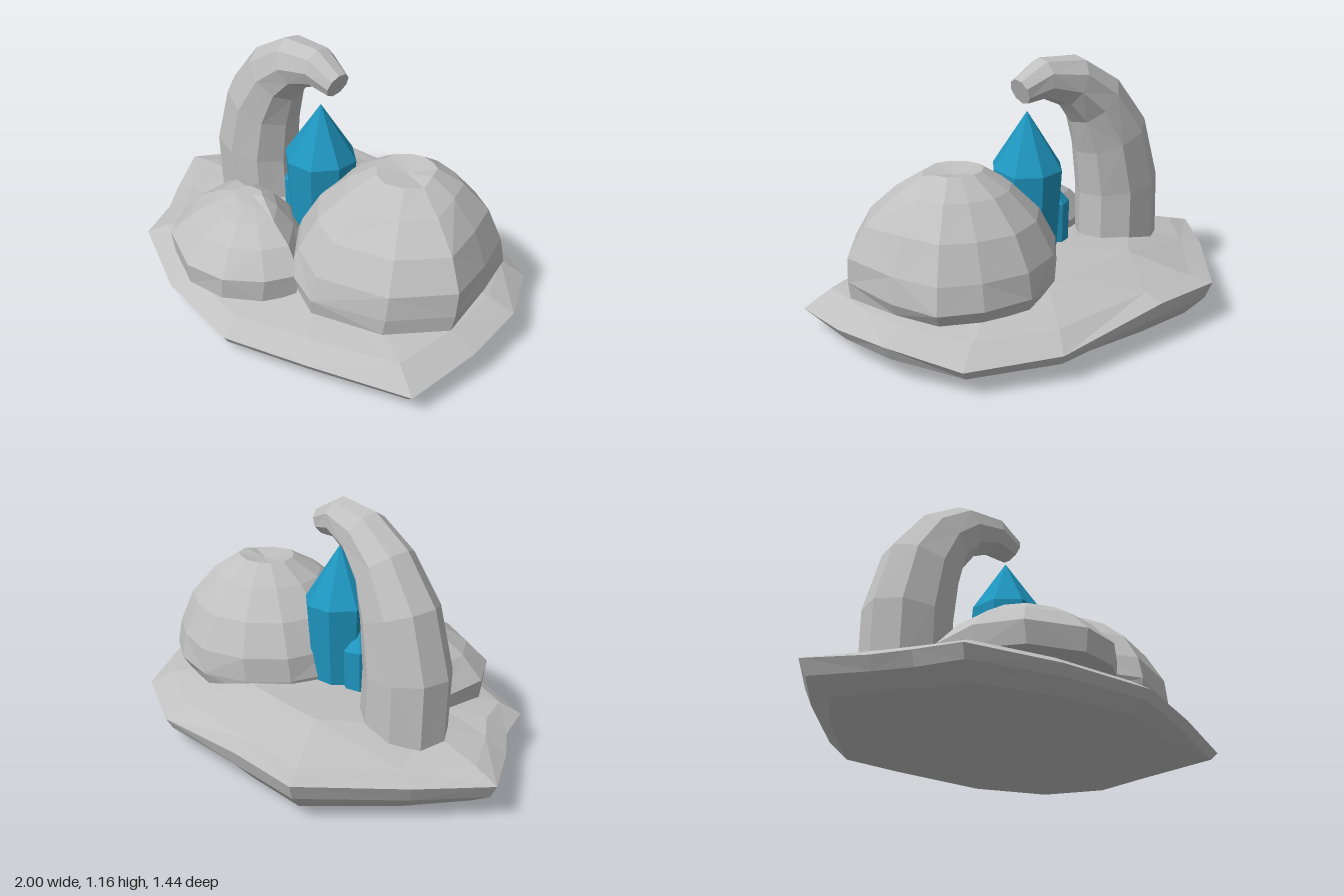
import * as THREE from 'three';

const stone = new THREE.MeshStandardMaterial({ color: 0xc0c0c0, flatShading: true });
stone.name = 'grey stone';
const teal = new THREE.MeshStandardMaterial({ color: 0x1f96c0, flatShading: true });
teal.name = 'teal crystal';

// Faceted skin through closed rings, listed bottom to top; one-point ends become fans
function loft(name, rings, material) {
  const pos = [];
  const tri = (a, b, c) => pos.push(...a, ...b, ...c);
  for (let i = 0; i + 1 < rings.length; i++) {
    const lo = rings[i], hi = rings[i + 1], n = Math.max(lo.length, hi.length);
    for (let j = 0; j < n; j++) {
      const k = (j + 1) % n;
      if (lo.length === 1) tri(lo[0], hi[j], hi[k]);
      else if (hi.length === 1) tri(lo[j], hi[0], lo[k]);
      else if ((i + j) % 2) { tri(lo[j], hi[j], lo[k]); tri(lo[k], hi[j], hi[k]); }
      else { tri(lo[j], hi[j], hi[k]); tri(lo[j], hi[k], lo[k]); }
    }
  }
  const geo = new THREE.BufferGeometry();
  geo.setAttribute('position', new THREE.Float32BufferAttribute(pos, 3));
  geo.computeVertexNormals();
  const mesh = new THREE.Mesh(geo, material);
  mesh.name = name;
  return mesh;
}

// Small repeatable unevenness in -1..1
const rough = (i, j) => Math.sin(i * 12.7 + j * 7.3 + 1.1);

// Slab rim: x, y, z
const rim = [
  [1, 0.14, 0.05], [0.97, 0.10, 0.40], [0.55, 0.11, 0.58], [0.17, 0.11, 0.72], [-0.27, 0.12, 0.67],
  [-0.64, 0.15, 0.52], [-0.73, 0.16, 0.32], [-0.84, 0.15, 0.19], [-1, 0.17, -0.05], [-0.80, 0.18, -0.33],
  [-0.47, 0.19, -0.70], [-0.13, 0.20, -0.72], [0.42, 0.13, -0.71], [0.80, 0.12, -0.55], [0.97, 0.17, -0.25],
];

function slab() {
  const ring = (s, y) => rim.map((p, j) => [p[0] * s, y(p, j), p[2] * s]);
  return loft('baseSlab', [
    [[0, 0, 0]],
    ring(0.55, () => 0.004),
    ring(0.86, (p, j) => 0.034 + 0.01 * rough(1, j)),
    ring(0.965, (p) => 0.55 * p[1] + 0.01),
    rim,
    ring(0.88, (p, j) => 0.5 * p[1] + 0.125 + 0.012 * rough(3, j)),
    ring(0.55, (p) => 0.26 - 0.05 * p[2]),
    [[0, 0.285, 0]],
  ], stone);
}

// Boulder: plan outline [x, z] scaled about a centre that drifts to the pole
function boulder(name, plan, centre, pole, levels) {
  const rings = levels.map(([y, s], i) => {
    const t = i / levels.length;
    const cx = centre[0] + (pole[0] - centre[0]) * t;
    const cz = centre[1] + (pole[2] - centre[1]) * t;
    return plan.map(([x, z], j) => {
      const k = s * (1 + (i === 1 ? 0 : 0.03) * rough(i, j));
      return [cx + (x - centre[0]) * k, y + 0.02 * rough(j, i), cz + (z - centre[1]) * k];
    });
  });
  return loft(name, [[[centre[0], levels[0][0] - 0.03, centre[1]]], ...rings, [pole]], stone);
}

// Curved horn: x, y, z, radius, tapering towards the tip
function horn() {
  const path = [
    [-0.475, 0.23, -0.07, 0.215], [-0.48, 0.50, -0.06, 0.212], [-0.425, 0.75, -0.058, 0.19],
    [-0.322, 0.93, -0.055, 0.15], [-0.19, 1.035, -0.05, 0.12], [-0.03, 1.068, -0.04, 0.092],
    [0.088, 1.025, -0.035, 0.062],
  ];
  const sides = 9;
  const rings = path.map(([x, y, z, r], i) => {
    const a = path[Math.max(i - 1, 0)], b = path[Math.min(i + 1, path.length - 1)];
    const len = Math.hypot(b[0] - a[0], b[1] - a[1]);
    const nx = (b[1] - a[1]) / len, ny = -(b[0] - a[0]) / len;
    const depth = r * (0.81 + 0.19 * i / (path.length - 1));
    return Array.from({ length: sides }, (_, j) => {
      const t = (j / sides) * Math.PI * 2 + 0.15;
      return [x + nx * r * Math.cos(t), y + ny * r * Math.cos(t), z + depth * Math.sin(t)];
    });
  });
  return loft('curvedHorn', [[path[0].slice(0, 3)], ...rings, [path.at(-1).slice(0, 3)]], stone);
}

// Pointed crystal: levels of [y, radius]
function crystal(name, x, z, sides, levels, tip) {
  const rings = levels.map(([y, r], i) => Array.from({ length: sides }, (_, j) => {
    const t = (j / sides) * Math.PI * 2 + 0.25;
    const lift = i === levels.length - 1 ? 0.02 * rough(j, 2) : 0;
    return [x + r * Math.cos(t), y + lift, z + r * Math.sin(t)];
  }));
  return loft(name, [[[x, levels[0][0], z]], ...rings, [[x, tip, z]]], teal);
}

export function createModel() {
  const model = new THREE.Group();
  model.name = 'rockFormation';
  model.add(
    slab(),
    boulder('largeBoulder',
      [[0.91, 0.10], [0.73, 0.33], [0.42, 0.46], [0.20, 0.38], [0.04, 0.20], [-0.01, -0.04],
        [0.06, -0.25], [0.20, -0.40], [0.40, -0.49], [0.62, -0.46], [0.79, -0.37], [0.86, -0.15]],
      [0.44, -0.02], [0.48, 0.74, -0.07],
      [[0.22, 0.96], [0.30, 1], [0.43, 0.96], [0.58, 0.80], [0.69, 0.54], [0.75, 0.28]]),
    boulder('smallBoulder',
      [[0.27, 0.38], [0.20, 0.52], [0.06, 0.64], [-0.13, 0.68], [-0.38, 0.58], [-0.50, 0.41],
        [-0.50, 0.17], [-0.32, 0.08], [-0.08, 0.06], [0.12, 0.18]],
      [-0.12, 0.36], [-0.11, 0.52, 0.30],
      [[0.19, 0.95], [0.30, 1], [0.42, 0.75], [0.50, 0.46], [0.525, 0.2]]),
    horn(),
    crystal('largeCrystal', 0.02, 0, 8, [[0.22, 0.135], [0.5, 0.155], [0.67, 0.165]], 0.92),
    crystal('smallCrystal', -0.12, -0.01, 7, [[0.22, 0.075], [0.48, 0.08]], 0.56),
  );
  return model;
}
